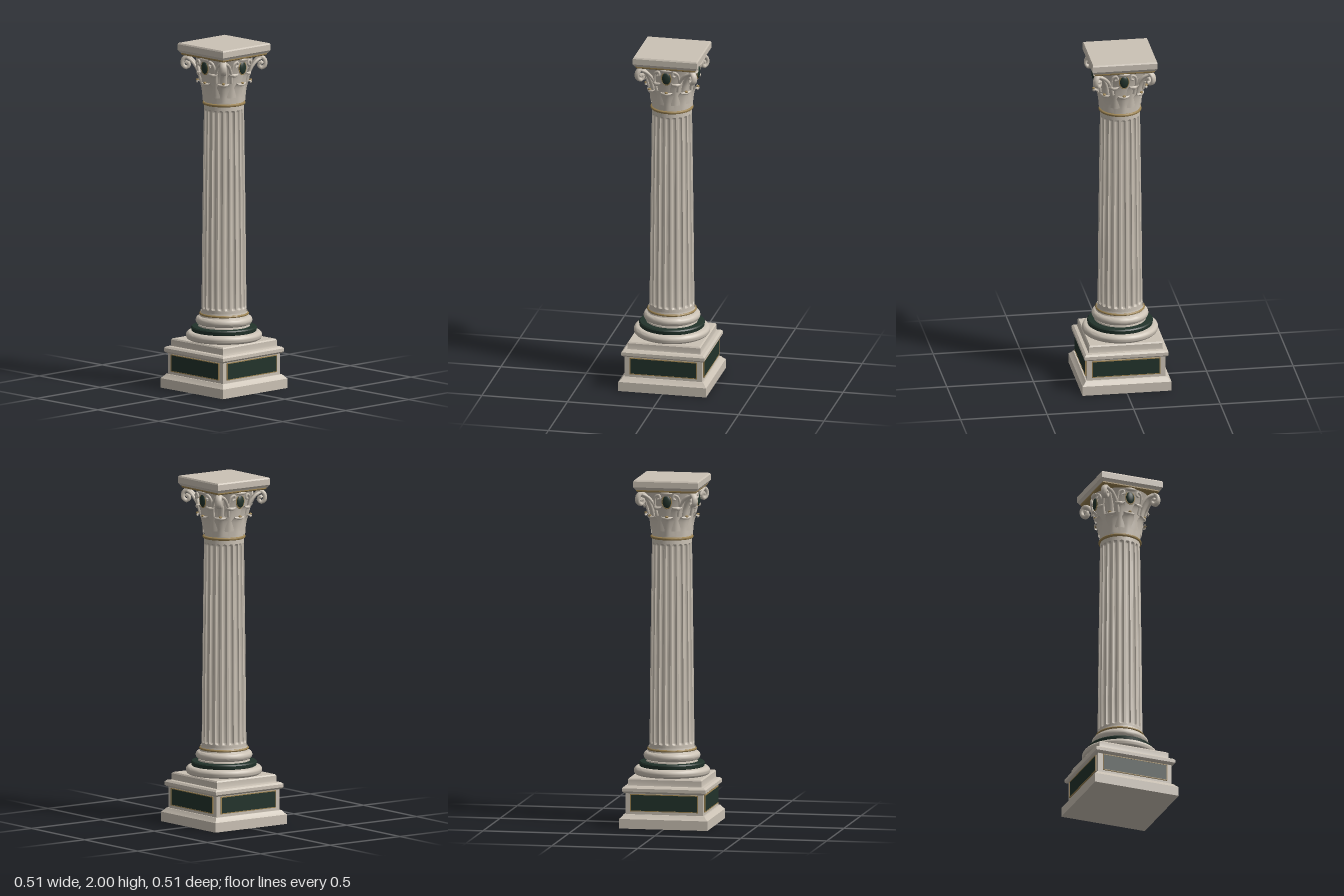
import * as THREE from 'three';
import { toCreasedNormals } from 'three/addons/utils/BufferGeometryUtils.js';

const mat = (name, color) => {
  const m = new THREE.MeshStandardMaterial({ color, side: THREE.DoubleSide });
  m.name = name;
  return m;
};

export function createModel() {
  const root = new THREE.Group();
  root.name = 'column';
  const stone = mat('warm stone', 0xcbc2b5);
  const green = mat('dark green marble', 0x22332b);
  const gold = mat('aged gold', 0x9c8352);

  const add = (parent, name, geo, material) => {
    const m = new THREE.Mesh(geo, material);
    m.name = name;
    parent.add(m);
    return m;
  };
  const v2 = (pts) => pts.map(([x, y]) => new THREE.Vector2(x, y));
  const v3 = (pts) => pts.map((p) => new THREE.Vector3(...p));

  // Square moulding from [half width, height] points
  const square = (name, pts, material) => {
    const p = pts.map(([h, y]) => [h * Math.SQRT2, y]);
    const g = new THREE.LatheGeometry(v2(p), 4, Math.PI / 4);
    return add(root, name, toCreasedNormals(g, 0.3), material);
  };
  // Round moulding from [radius, height] points
  const round = (name, pts, material) =>
    add(root, name, toCreasedNormals(new THREE.LatheGeometry(v2(pts), 64), 0.7), material);
  // Half-round bulge between two heights
  const bulge = (r, y0, y1, depth) => Array.from({ length: 11 }, (_, i) => {
    const a = (i / 10) * Math.PI;
    return [r - depth + depth * Math.sin(a), (y0 + y1) / 2 - Math.cos(a) * (y1 - y0) / 2];
  });
  // Tube through points, optionally widened across its plane
  const tube = (parent, name, pts, r, material, widen = 1) => {
    const curve = new THREE.CatmullRomCurve3(v3(pts));
    const g = new THREE.TubeGeometry(curve, 28, r, 8);
    g.scale(1, 1, widen);
    return add(parent, name, g, material);
  };

  // Pedestal
  square('plinth', [[0, 0], [0.257, 0], [0.257, 0.055], [0.245, 0.066], [0.234, 0.08], [0, 0.08]], stone);
  square('pedestalBlock', [[0.226, 0.08], [0.226, 0.205]], stone);
  square('pedestalCornice', [[0.226, 0.2], [0.236, 0.205], [0.243, 0.212], [0.243, 0.23], [0.232, 0.24],
    [0.215, 0.243], [0.213, 0.25], [0.213, 0.278], [0.207, 0.286], [0, 0.286]], stone);

  // Inlaid panels, one on each side
  for (let i = 0; i < 4; i++) {
    const side = new THREE.Group();
    side.name = 'pedestalPanel';
    side.rotation.y = i * Math.PI / 2;
    add(side, 'panelInlay', new THREE.BoxGeometry(0.384, 0.09, 0.006), green).position.set(0, 0.147, 0.228);
    for (const s of [-1, 1]) {
      add(side, 'panelTrim', new THREE.BoxGeometry(0.394, 0.005, 0.009), gold).position.set(0, 0.147 + s * 0.0475, 0.228);
      add(side, 'panelTrimEnd', new THREE.BoxGeometry(0.005, 0.09, 0.009), gold).position.set(s * 0.1945, 0.147, 0.228);
    }
    root.add(side);
  }

  // Round base
  round('lowerTorus', [[0.19, 0.28], ...bulge(0.218, 0.284, 0.333, 0.024), [0.18, 0.333]], stone);
  round('greenBand', [[0.182, 0.333], [0.186, 0.336], [0.188, 0.354], [0.182, 0.361], [0.14, 0.362]], green);
  round('upperTorus', [[0.148, 0.36], [0.146, 0.37], ...bulge(0.162, 0.372, 0.42, 0.022), [0.138, 0.424], [0.134, 0.45]], stone);
  round('baseRing', bulge(0.142, 0.427, 0.441, 0.008), gold);

  // Fluted shaft: rings of flute cross-sections, fading out at both ends
  const flutes = 20, us = [-0.5, -0.37, -0.33, -0.2, 0, 0.2, 0.33, 0.37];
  const y0 = 0.465, y1 = 1.625, end = 0.016;
  const ys = [0.435, 0.455, y0];
  for (const f of [0.1, 0.35, 0.65, 1]) ys.push(y0 + end * f);
  for (let i = 1; i < 8; i++) ys.push(y0 + end + (y1 - y0 - 2 * end) * i / 8);
  for (const f of [1, 0.65, 0.35, 0.1, 0]) ys.push(y1 - end * f);
  ys.push(1.64, 1.66);
  const pos = [], idx = [], n = flutes * us.length;
  ys.forEach((y, j) => {
    const t = (y - 0.435) / 1.225;
    const base = 0.128 - 0.014 * Math.pow(t, 1.3);
    const e = Math.max(0, 1 - Math.min(y - y0, y1 - y) / end);
    for (let k = 0; k < n; k++) {
      const u = us[k % us.length];
      const a = ((Math.floor(k / us.length) + u) / flutes) * Math.PI * 2;
      const r = base - 0.013 * Math.sqrt(Math.max(0, 1 - (u / 0.37) ** 2 - e * e));
      pos.push(Math.sin(a) * r, y, Math.cos(a) * r);
      if (j) {
        const c = j * n + k, d = j * n + (k + 1) % n;
        idx.push(c - n, d - n, d, c - n, d, c);
      }
    }
  });
  const shaft = new THREE.BufferGeometry();
  shaft.setAttribute('position', new THREE.Float32BufferAttribute(pos, 3));
  shaft.setIndex(idx);
  add(root, 'flutedShaft', toCreasedNormals(shaft, 0.6), stone);
  round('neckRing', bulge(0.123, 1.647, 1.664, 0.009), gold);

  // Capital bell
  round('capitalBell', [[0.112, 1.655], [0.114, 1.7], [0.12, 1.76], [0.127, 1.81], [0.138, 1.86],
    [0.153, 1.9], [0.165, 1.93], [0, 1.93]], stone);

  // Acanthus leaf following a [radius, height] curve, with a raised rib and lobed edge
  const leafGeometry = (pts, halfWidth) => {
    const spine = new THREE.SplineCurve(v2(pts));
    const g = new THREE.PlaneGeometry(1, 1, 6, 18);
    const p = g.attributes.position;
    for (let i = 0; i < p.count; i++) {
      const s = p.getX(i) * 2, t = p.getY(i) + 0.5, c = spine.getPoint(t);
      const lobe = 0.82 + 0.18 * Math.abs(Math.cos(t * Math.PI * 3));
      const x = s * halfWidth * lobe * Math.sqrt(1 - 0.9 * t ** 3);
      const r = c.x + 0.007 * (1 - Math.abs(s)) - x * x * 3;
      p.setXYZ(i, x, c.y, r);
    }
    g.computeVertexNormals();
    return g;
  };
  const lowLeaf = leafGeometry([[0.115, 1.67], [0.119, 1.72], [0.128, 1.765], [0.143, 1.787], [0.153, 1.78], [0.15, 1.77]], 0.04);
  const highLeaf = leafGeometry([[0.118, 1.7], [0.125, 1.77], [0.137, 1.825], [0.152, 1.846], [0.161, 1.838], [0.157, 1.826]], 0.034);
  for (let i = 0; i < 8; i++) {
    const a = i * Math.PI / 4;
    add(root, 'lowerLeaf', lowLeaf, stone).rotation.y = a;
    add(root, 'upperLeaf', highLeaf, stone).rotation.y = a + Math.PI / 8;
    const tip = add(root, 'leafTip', new THREE.SphereGeometry(0.008, 10, 8), gold);
    tip.position.set(Math.sin(a) * 0.152, 1.788, Math.cos(a) * 0.152);
    tip.scale.set(1.2, 0.8, 1.2);
  }

  // Corner scrolls and face ornaments
  for (let i = 0; i < 4; i++) {
    const corner = new THREE.Group();
    corner.name = 'cornerScroll';
    corner.rotation.y = Math.PI / 4 + i * Math.PI / 2;
    tube(corner, 'scroll', [[0.125, 1.77, 0], [0.145, 1.84, 0], [0.18, 1.9, 0], [0.21, 1.922, 0], [0.233, 1.905, 0],
      [0.234, 1.872, 0], [0.213, 1.858, 0], [0.199, 1.876, 0], [0.21, 1.892, 0], [0.217, 1.882, 0]], 0.012, stone, 1.6);
    root.add(corner);

    const face = new THREE.Group();
    face.name = 'capitalFace';
    face.rotation.y = i * Math.PI / 2;
    for (const s of [-1, 1]) {
      tube(face, 'outerStem', [[s * 0.06, 1.79, 0.122], [s * 0.075, 1.85, 0.135], [s * 0.11, 1.9, 0.15], [s * 0.15, 1.92, 0.158]], 0.009, stone);
      tube(face, 'innerScroll', [[s * 0.06, 1.79, 0.12], [s * 0.072, 1.86, 0.138], [s * 0.065, 1.905, 0.152], [s * 0.045, 1.915, 0.157],
        [s * 0.038, 1.895, 0.157], [s * 0.052, 1.888, 0.154]], 0.007, stone);
    }
    const gem = add(face, 'ovalInset', new THREE.SphereGeometry(1, 24, 16), green);
    gem.scale.set(0.025, 0.036, 0.012);
    gem.position.set(0, 1.875, 0.152);
    const rim = add(face, 'ovalRim', new THREE.TorusGeometry(0.027, 0.003, 8, 32), gold);
    rim.scale.y = 1.4;
    rim.position.set(0, 1.875, 0.152);
    const crest = add(face, 'crest', new THREE.SphereGeometry(1, 16, 10), stone);
    crest.scale.set(0.034, 0.012, 0.014);
    crest.position.set(0, 1.925, 0.16);
    root.add(face);
  }

  // Top slab
  square('slabTrim', [[0, 1.93], [0.168, 1.93], [0.174, 1.936], [0.174, 1.945]], gold);
  square('topSlab', [[0, 1.943], [0.177, 1.943], [0.183, 1.953], [0.188, 1.959], [0.188, 1.992], [0.183, 2], [0, 2]], stone);
  return root;
}
